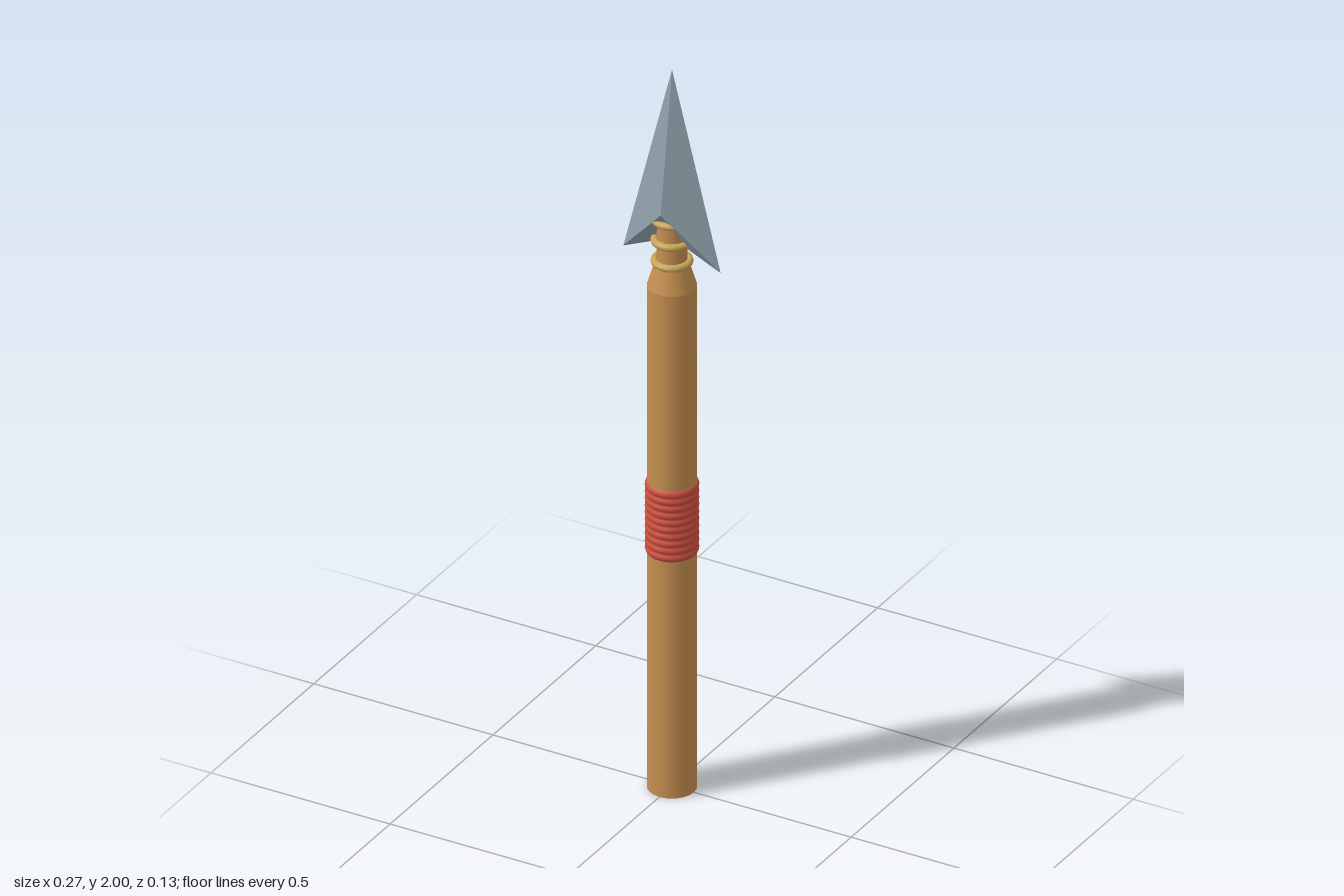
import * as THREE from 'three';

const wood = new THREE.MeshStandardMaterial({ color: 0xc68f50 });
wood.name = 'wood';
const steel = new THREE.MeshStandardMaterial({ color: 0x8f9fa9 });
steel.name = 'steel';
const brass = new THREE.MeshStandardMaterial({ color: 0xc8a458 });
brass.name = 'brass';
const redCord = new THREE.MeshStandardMaterial({ color: 0xcd4f3f });
redCord.name = 'redCord';

function addMesh(group, name, geometry, material, y = 0) {
  const mesh = new THREE.Mesh(geometry, material);
  mesh.name = name;
  mesh.position.y = y;
  group.add(mesh);
  return mesh;
}

// Cylinder or cone section between two heights
function section(rBottom, rTop, y0, y1, open) {
  return new THREE.CylinderGeometry(rTop, rBottom, y1 - y0, 32, 1, open).translate(0, (y0 + y1) / 2, 0);
}

// Four-sided barbed head with a notch cut into its base
function bladeGeometry() {
  const tip = [0, 2, 0];
  const notch = [0, 1.53, 0];
  const rim = [[0.136, 1.47, 0], [0, 1.62, 0.055], [-0.136, 1.47, 0], [0, 1.62, -0.055]];
  const points = [];
  for (let i = 0; i < 4; i++) {
    const a = rim[i], b = rim[(i + 1) % 4];
    points.push(...tip, ...b, ...a, ...notch, ...a, ...b);
  }
  const geometry = new THREE.BufferGeometry();
  geometry.setAttribute('position', new THREE.Float32BufferAttribute(points, 3));
  geometry.computeVertexNormals();
  return geometry;
}

// Cord wound round the grip, its profile scalloped by each turn
function gripGeometry(y0, y1, turns) {
  const profile = [new THREE.Vector2(0.06, y0)];
  const steps = 6;
  for (let i = 0; i <= turns * steps; i++) {
    const bulge = Math.abs(Math.sin((i / steps) * Math.PI));
    profile.push(new THREE.Vector2(0.0625 + 0.0038 * bulge, y0 + ((y1 - y0) * i) / (turns * steps)));
  }
  profile.push(new THREE.Vector2(0.06, y1));
  return new THREE.LatheGeometry(profile, 32);
}

export function createModel() {
  const spear = new THREE.Group();
  spear.name = 'spear';

  // Wooden pole, narrowing to a neck under the head
  addMesh(spear, 'shaft', section(0.061, 0.061, 0, 1.4, false), wood);
  addMesh(spear, 'shoulder', section(0.061, 0.038, 1.4, 1.475, true), wood);
  addMesh(spear, 'neck', section(0.038, 0.036, 1.475, 1.64, false), wood);

  // Binding rings on the neck
  for (const y of [1.468, 1.526, 1.584]) {
    addMesh(spear, 'neckRing', new THREE.TorusGeometry(0.043, 0.0095, 10, 32).rotateX(Math.PI / 2), brass, y);
  }

  addMesh(spear, 'gripWrap', gripGeometry(0.66, 0.855, 10), redCord);
  addMesh(spear, 'blade', bladeGeometry(), steel);

  return spear;
}
